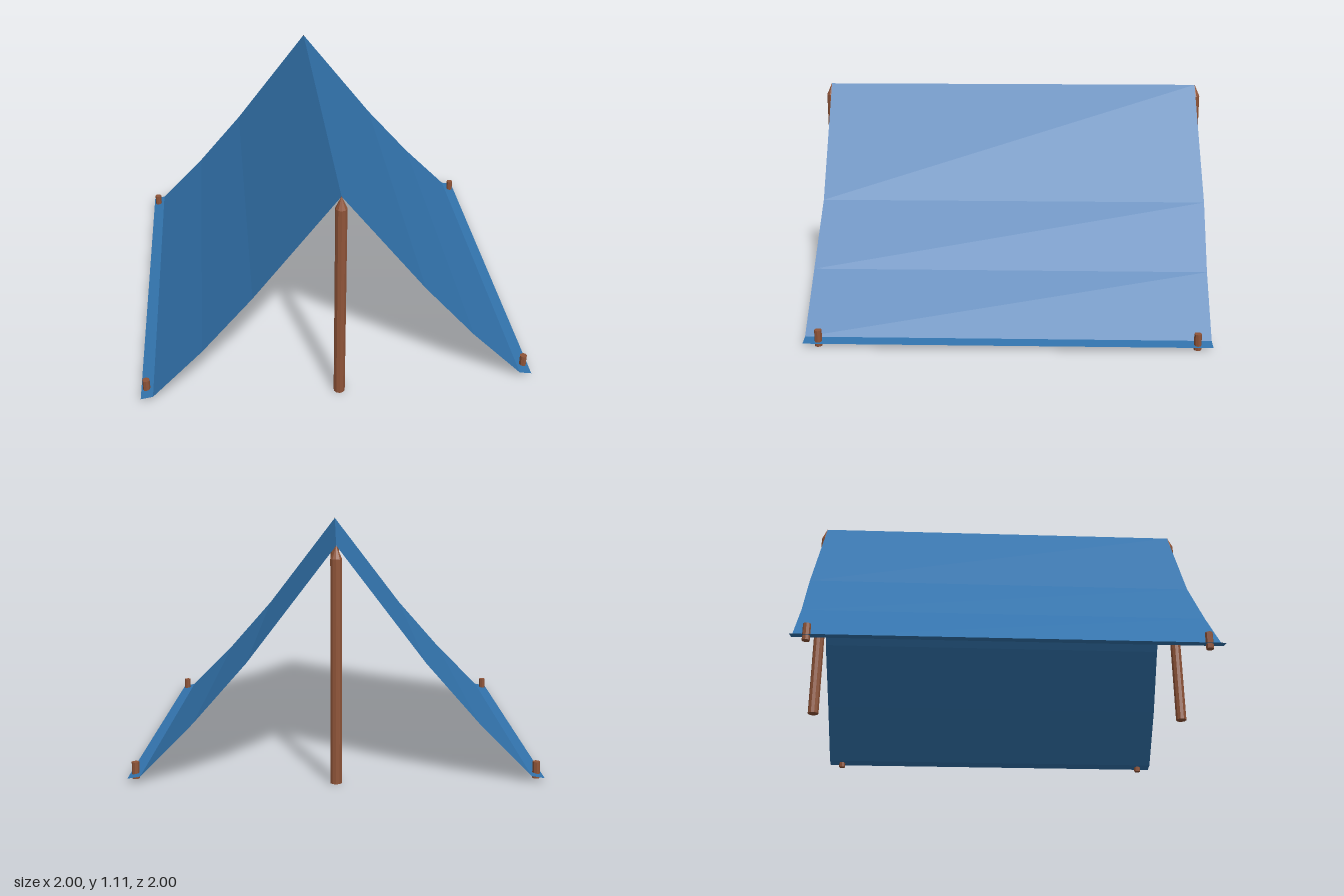
import * as THREE from 'three';

const cloth = new THREE.MeshStandardMaterial({ color: 0x3273ac, flatShading: true, side: THREE.DoubleSide });
const wood = new THREE.MeshStandardMaterial({ color: 0x8f5438, flatShading: true });

// Half of the canvas profile, ridge to ground flap: [x, y, z shift of the cut ends]
const PROFILE = [
  [0, 1.105, 0],
  [0.41, 0.57, -0.014],
  [0.66, 0.285, -0.004],
  [0.912, 0.03, 0],
  [0.972, 0.02, 0],
];
const HALF_LENGTH = 0.971;

// Thin sheet swept from the front edge to the back edge across both slopes
function canvasGeometry() {
  const left = PROFILE.slice(1).reverse().map(([x, y, dz]) => [-x, y, dz]);
  const section = [...left, ...PROFILE];
  const positions = [];
  const index = [];
  section.forEach(([x, y, dz], i) => {
    positions.push(x, y, HALF_LENGTH + dz, x, y, -HALF_LENGTH + dz);
    if (i > 0) {
      const a = 2 * (i - 1);
      index.push(a, a + 2, a + 1, a + 1, a + 2, a + 3);
    }
  });
  const geometry = new THREE.BufferGeometry();
  geometry.setAttribute('position', new THREE.Float32BufferAttribute(positions, 3));
  geometry.setIndex(index);
  geometry.computeVertexNormals();
  return geometry;
}

export function createModel() {
  const tent = new THREE.Group();
  tent.name = 'tent';

  const add = (name, geometry, material, x = 0, z = 0) => {
    const mesh = new THREE.Mesh(geometry, material);
    mesh.name = name;
    mesh.position.set(x, 0, z);
    tent.add(mesh);
  };

  add('canvas', canvasGeometry(), cloth);

  // Upright poles with pointed tops, and short ground pegs
  const pole = new THREE.LatheGeometry(
    [[0, 0], [0.028, 0], [0.028, 1.045], [0, 1.107]].map(([r, y]) => new THREE.Vector2(r, y)), 10);
  const peg = new THREE.CylinderGeometry(0.018, 0.018, 0.08, 8).translate(0, 0.04, 0);

  for (const [end, sz] of [['front', 1], ['back', -1]]) {
    add(end + 'Pole', pole, wood, 0, sz * 0.971);
    for (const [side, sx] of [['Left', 1], ['Right', -1]]) {
      add(end + side + 'Peg', peg, wood, sx * 0.945, sz * 0.9);
    }
  }

  // The whole tent stands slightly turned
  tent.rotation.y = -0.029;
  const model = new THREE.Group();
  model.name = 'tentModel';
  model.add(tent);
  return model;
}
